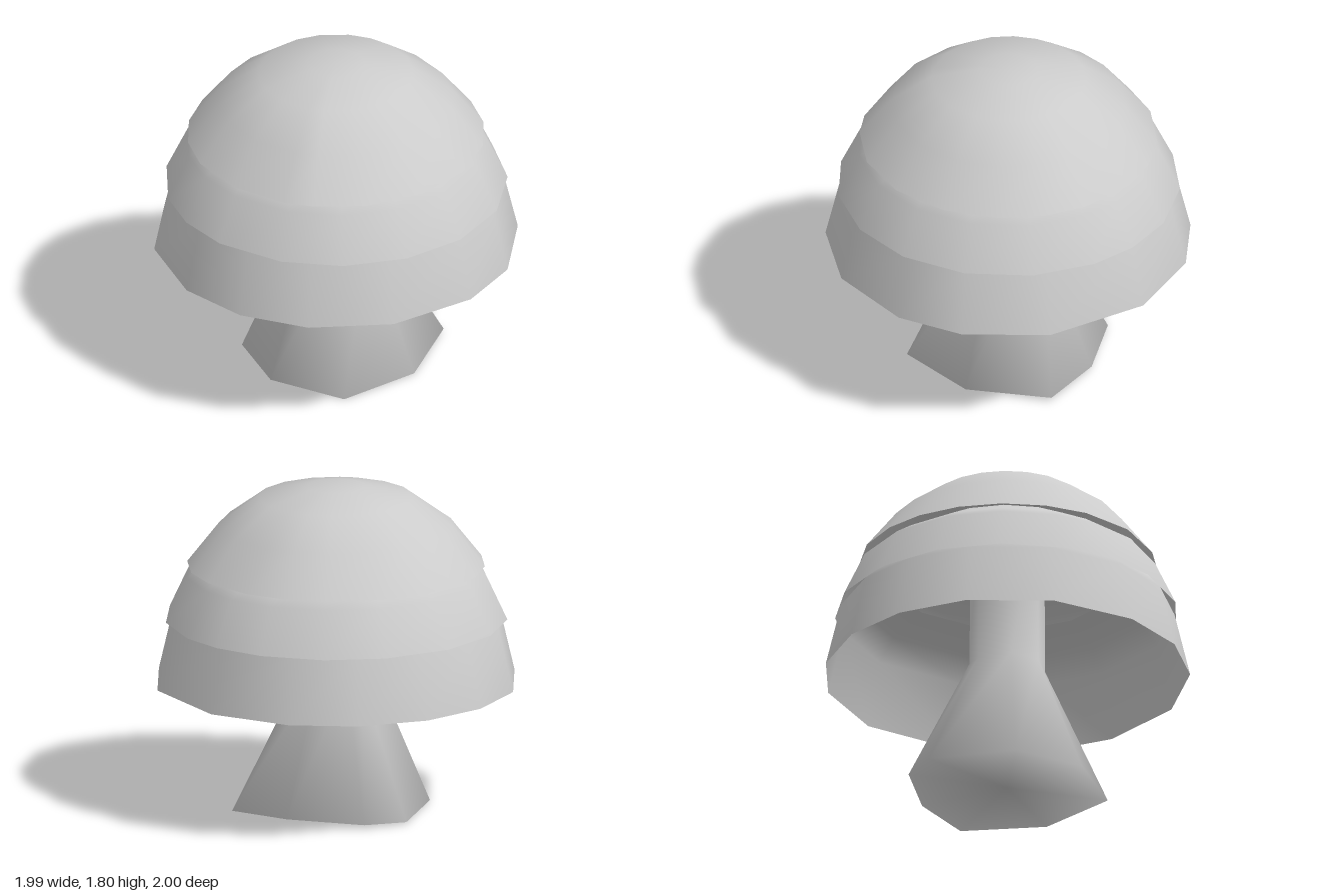
import * as THREE from 'three';

const material = new THREE.MeshStandardMaterial({ color: 0xcccccc, side: THREE.DoubleSide });

// Joins rings of [x, y, z] points, listed bottom to top, into one smooth skin.
function loft(name, rings) {
  const n = rings[0].length;
  const index = [];
  for (let j = 0; j < rings.length - 1; j++) {
    for (let i = 0; i < n; i++) {
      const a = j * n + i;
      const b = j * n + (i + 1) % n;
      index.push(a, a + n, b, b, a + n, b + n);
    }
  }
  const geometry = new THREE.BufferGeometry();
  geometry.setAttribute('position', new THREE.Float32BufferAttribute(rings.flat(2), 3));
  geometry.setIndex(index);
  geometry.computeVertexNormals();
  const mesh = new THREE.Mesh(geometry, material);
  mesh.name = name;
  return mesh;
}

// Ring of points at uneven angles (degrees, from +x towards +z).
const ring = (angles, r, y) => angles.map((deg) => {
  const t = THREE.MathUtils.degToRad(deg);
  return [r * Math.cos(t), y, r * Math.sin(t)];
});

// Hand-cut rim angles and [radius, height] profile of each cap layer
const layers = [
  {
    name: 'lowerCap',
    angles: [11, 45, 73, 95, 124, 151, 174, 197, 225, 253, 276, 298, 321, 343],
    profile: [[1.005, 0.7], [0.92, 1.06], [0.82, 1.18], [0.62, 1.27]],
  },
  {
    name: 'middleCap',
    angles: [12, 28, 50, 73, 96, 118, 140, 161, 185, 203, 220, 242, 264, 287, 311, 332, 354],
    profile: [[0.942, 1.06], [0.825, 1.31], [0.72, 1.38], [0.5, 1.5]],
  },
  {
    name: 'upperCap',
    angles: [5, 27, 44, 62, 84, 107, 130, 151, 163, 186, 208, 225, 242, 259, 276, 292, 310, 332, 349],
    profile: [[0.818, 1.36], [0.645, 1.58], [0.425, 1.74], [0.16, 1.8], [0, 1.8]],
  },
];

// Uneven foot of the stem, as [x, y, z]
const foot = [
  [0.53, 0.03, -0.01], [0.5, 0.02, 0.36], [0.04, 0, 0.51], [-0.42, 0, 0.38],
  [-0.51, 0.01, -0.06], [-0.3, 0.01, -0.42], [0.17, 0.01, -0.56], [0.38, 0.02, -0.42],
];

export function createModel() {
  const group = new THREE.Group();
  group.name = 'mushroom';

  // Overlapping domed layers
  for (const { name, angles, profile } of layers) {
    group.add(loft(name, profile.map(([r, y]) => ring(angles, r, y))));
  }

  // Flared stem with a closed underside, running up inside the cap
  const footAngles = foot.map(([x, , z]) => THREE.MathUtils.radToDeg(Math.atan2(z, x)));
  group.add(loft('stem', [
    foot.map(() => [0, 0.02, 0]),
    foot,
    ring(footAngles, 0.215, 0.74),
    ring(footAngles, 0.21, 1.6),
  ]));

  return group;
}
